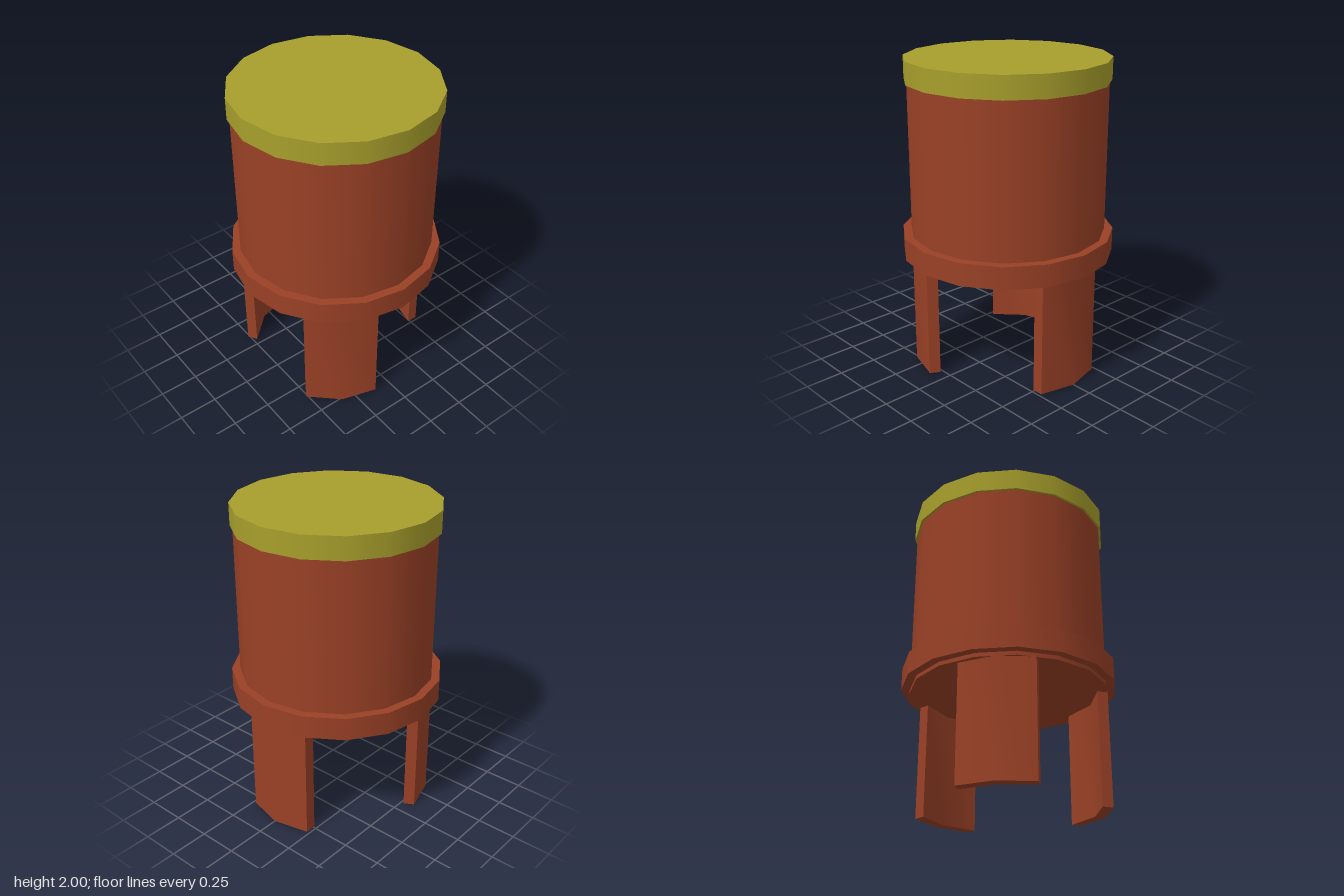
import * as THREE from 'three';
import { toCreasedNormals } from 'three/addons/utils/BufferGeometryUtils.js';

const SIDES = 16;
const rust = new THREE.MeshStandardMaterial({ color: 0x9a4126 });
const olive = new THREE.MeshStandardMaterial({ color: 0xa89f2c });

// Upright 16-sided drum between two heights
function drum(name, radius, y0, y1, material) {
  const mesh = new THREE.Mesh(new THREE.CylinderGeometry(radius, radius, y1 - y0, SIDES), material);
  mesh.position.y = (y0 + y1) / 2;
  mesh.name = name;
  return mesh;
}

// Bent plate standing on the ground, bulging towards +x
function legGeometry(height) {
  const plan = new THREE.Shape([
    [0.49, -0.23], [0.56, -0.23], [0.615, 0], [0.56, 0.23], [0.49, 0.23], [0.545, 0],
  ].map(([x, y]) => new THREE.Vector2(x, y)));
  const geometry = new THREE.ExtrudeGeometry(plan, { depth: height, bevelEnabled: false });
  geometry.rotateX(-Math.PI / 2);
  return toCreasedNormals(geometry, 0.6);
}

export function createModel() {
  const model = new THREE.Group();
  model.name = 'tankOnLegs';

  model.add(
    drum('tankBody', 0.622, 0.73, 1.87, rust),
    drum('baseRing', 0.675, 0.755, 0.9, rust),
    drum('lid', 0.637, 1.86, 2, olive),
  );

  // Three legs; the outer pair sits slightly off the even spacing
  const geometry = legGeometry(0.74);
  for (const side of [0, 1, -1]) {
    const leg = new THREE.Mesh(geometry, rust);
    leg.name = ['sideLeg', 'frontLeg', 'backLeg'].at(side);
    leg.rotation.y = -side * Math.PI * 2 / 3;
    leg.position.set(side ? -0.03 : 0, 0, -0.02 * side);
    model.add(leg);
  }
  return model;
}
